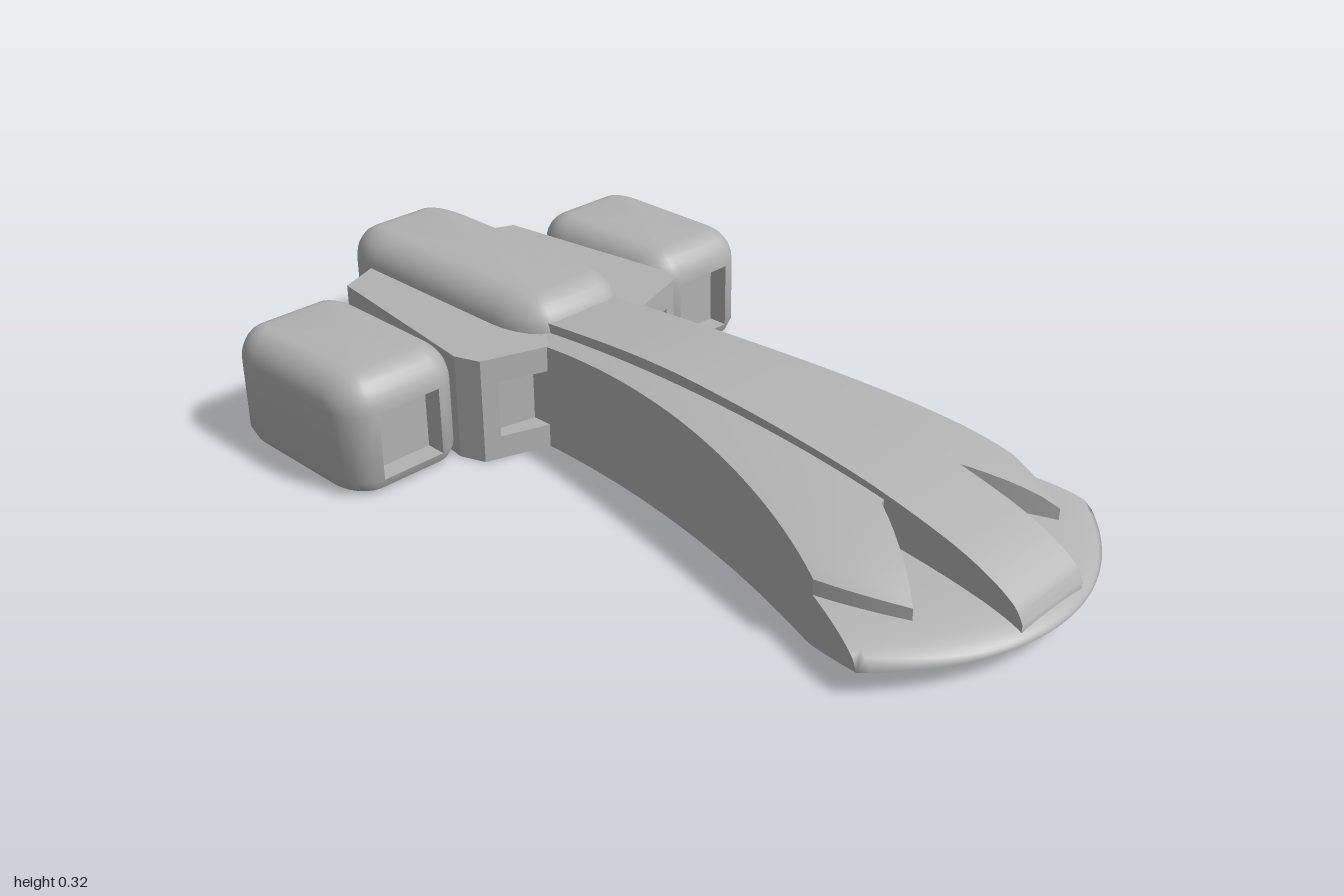
import * as THREE from 'three';
import { toCreasedNormals } from 'three/addons/utils/BufferGeometryUtils.js';
import { ParametricGeometry } from 'three/addons/geometries/ParametricGeometry.js';

const hullGrey = new THREE.MeshStandardMaterial({ color: 0xb2b2b2, side: THREE.DoubleSide });
hullGrey.name = 'hullGrey';

function add(parent, name, geometry) {
  const mesh = new THREE.Mesh(geometry, hullGrey);
  mesh.name = name;
  parent.add(mesh);
  return mesh;
}

// --- Hull surfaces -------------------------------------------------------
const sq = (v) => v * v;
const sideWidth = (x) => 0.15 + 0.205 * sq(x + 0.25);
const rimWidth = (x) => 0.657 * Math.sqrt(Math.max(0, 1 - sq((x - 0.05) / 0.95)));
const width = (x) => (x <= 0.82 ? sideWidth(x) : rimWidth(x));
const dome = (x, z, b) => Math.sqrt(Math.max(0, 1 - sq((x - 0.05) / 0.95) - sq(z / b)));
const shellTop = (x, z) => 0.06 + 0.21 * dome(x, z, 0.5);
const lensTop = (x, z) => 0.055 + 0.1 * dome(x, z, 0.657);
const underside = (x, z) => {
  const rho = Math.hypot((x - 0.05) / 0.95, z / 0.657);
  return 0.055 * Math.pow(Math.min(1, Math.max(0, (rho - 0.79) / 0.21)), 1.2);
};

// Closed solid between two height fields over a plan(u, v) -> [x, z]
function heightSolid(name, plan, top, bottom, nu, nv) {
  const group = new THREE.Group();
  group.name = name;
  const surface = (height, flip) => (u, v, p) => {
    const [x, z] = plan(u, flip ? 1 - v : v);
    p.set(x, height(x, z), z);
  };
  const wall = (edge) => (u, v, p) => {
    const [x, z] = edge(u);
    p.set(x, THREE.MathUtils.lerp(bottom(x, z), top(x, z), v), z);
  };
  add(group, name + 'Top', new ParametricGeometry(surface(top, true), nu, nv));
  add(group, name + 'Bottom', new ParametricGeometry(surface(bottom, false), nu, nv));
  add(group, name + 'LeftWall', new ParametricGeometry(wall((u) => plan(u, 1)), nu, 1));
  add(group, name + 'RightWall', new ParametricGeometry(wall((u) => plan(1 - u, 0)), nu, 1));
  add(group, name + 'EndWall', new ParametricGeometry(wall((u) => plan(1, 1 - u)), nv, 1));
  return group;
}

// Upper shell ends in a notch with two forward points: [end x, share of width]
const shellEnd = [[0.62, 0], [0.65, 0.35], [0.83, 0.615], [0.66, 1]];
function shellPlan(u, v) {
  const t = (v * 2 - 1) * 3;
  const a = Math.abs(t);
  const i = Math.min(2, Math.floor(a));
  const endX = THREE.MathUtils.lerp(shellEnd[i][0], shellEnd[i + 1][0], a - i);
  const share = THREE.MathUtils.lerp(shellEnd[i][1], shellEnd[i + 1][1], a - i);
  const x = THREE.MathUtils.lerp(-0.3, endX, u);
  return [x, Math.sign(t) * share * sideWidth(x)];
}
// Flared nose, sampled more closely towards the tip
function nosePlan(u, v) {
  const x = u < 0.5 ? 0.5 + 0.64 * u : 1 - 0.18 * sq(2 - 2 * u);
  return [x, (v * 2 - 1) * width(x)];
}

// --- Rounded pod with recessed ends --------------------------------------
function podGeometry({ hx, hz, rx, rz, y0, y1, round, ends }) {
  const levels = [[y0, 0.03], [y0 + 0.01, 0.012], [y0 + 0.035, 0]];
  for (let i = 0; i <= 7; i++) {
    const a = (i / 7) * Math.PI / 2;
    levels.push([y1 - 0.08 + 0.08 * Math.sin(a), round * (1 - Math.cos(a))]);
  }
  const signs = [[1, 1], [-1, 1], [-1, -1], [1, -1]];
  const rings = levels.map(([y, inset]) => {
    const ring = [];
    signs.forEach(([sx, sz], c) => {
      for (let k = 0; k <= 6; k++) {
        const a = (c + k / 6) * Math.PI / 2;
        ring.push(new THREE.Vector3(
          sx * (hx - rx) + (rx - inset) * Math.cos(a), y,
          sz * (hz - rz) + (rz - inset) * Math.sin(a)));
      }
    });
    return ring;
  });
  const out = [];
  const tri = (...pts) => pts.forEach((p) => out.push(p.x, p.y, p.z));
  const quad = (a, b, c, d) => { tri(a, b, c); tri(a, c, d); };
  const n = 28;
  for (let i = 0; i < rings.length - 1; i++) {
    for (let j = 0; j < n; j++) {
      const k = (j + 1) % n;
      const loop = [rings[i][j], rings[i + 1][j], rings[i + 1][k], rings[i][k]];
      const end = j === n - 1 ? 1 : j === 13 ? -1 : 0;
      if (i === 2 && end && ends.includes(end)) {
        const inner = loop.map((p) => p.clone().setX(p.x - end * 0.05));
        quad(...inner);
        loop.forEach((p, m) => quad(p, loop[(m + 1) % 4], inner[(m + 1) % 4], inner[m]));
      } else quad(...loop);
    }
  }
  const low = new THREE.Vector3(0, y0, 0), high = new THREE.Vector3(0, y1, 0);
  const last = rings[rings.length - 1];
  for (let j = 0; j < n; j++) {
    const k = (j + 1) % n;
    tri(low, rings[0][j], rings[0][k]);
    tri(high, last[k], last[j]);
  }
  const geometry = new THREE.BufferGeometry();
  geometry.setAttribute('position', new THREE.Float32BufferAttribute(out, 3));
  return toCreasedNormals(geometry, 0.6);
}

// --- Hub slab from a half outline, mirrored over z -----------------------
function slab(half, y0, y1) {
  const points = [...half, ...half.map(([x, z]) => [x, -z]).reverse()];
  const shape = new THREE.Shape(points.map(([x, z]) => new THREE.Vector2(x, z)));
  return new THREE.ExtrudeGeometry(shape, { depth: y1 - y0, bevelEnabled: false })
    .rotateX(Math.PI / 2).translate(0, y1, 0);
}

export function createModel() {
  const model = new THREE.Group();
  model.name = 'craft';

  // Long hull with flared nose
  model.add(heightSolid('hullShell', shellPlan, shellTop, underside, 36, 36));
  model.add(heightSolid('nose', nosePlan, lensTop, underside, 40, 32));

  // Raised spine along the top
  const spine = new THREE.Shape();
  spine.moveTo(-0.4, 0.07);
  spine.lineTo(0.975, 0.07);
  spine.lineTo(0.975, 0.09);
  spine.splineThru([[0.95, 0.125], [0.88, 0.165], [0.78, 0.2], [0.6, 0.241], [0.4, 0.268],
    [0.2, 0.285], [0.05, 0.291], [-0.12, 0.286], [-0.4, 0.265]].map((p) => new THREE.Vector2(...p)));
  add(model, 'spine', toCreasedNormals(
    new THREE.ExtrudeGeometry(spine, { depth: 0.2, bevelEnabled: false, curveSegments: 36 })
      .translate(0, 0, -0.1), 0.5));

  // Hub in three layers; the middle one is notched beside the hull
  const rear = [[-0.92, 0.04], [-0.83, 0.26], [-0.36, 0.322], [-0.3, 0.3]];
  const full = [...rear, [-0.25, 0.148]];
  const notched = [...rear, [-0.287, 0.262], [-0.32, 0.25], [-0.3, 0.148]];
  add(model, 'hubBase', slab(full, 0, 0.055));
  add(model, 'hubMiddle', slab(notched, 0.055, 0.19));
  add(model, 'hubTop', slab(full, 0.19, 0.25));

  // Central pod with a recessed rear end
  add(model, 'centrePod', podGeometry({
    hx: 0.357, hz: 0.16, rx: 0.14, rz: 0.085, y0: 0.015, y1: 0.322, round: 0.08, ends: [-1],
  })).position.x = -0.643;

  // Side pods and their struts
  const podShape = podGeometry({
    hx: 0.23, hz: 0.155, rx: 0.1, rz: 0.075, y0: 0, y1: 0.275, round: 0.07, ends: [1, -1],
  });
  for (const [side, s] of [['left', 1], ['right', -1]]) {
    add(model, side + 'Pod', podShape).position.set(-0.58, 0, s * 0.457);
    add(model, side + 'Strut', new THREE.BoxGeometry(0.31, 0.11, 0.1))
      .position.set(-0.575, 0.11, s * 0.27);
  }
  return model;
}
